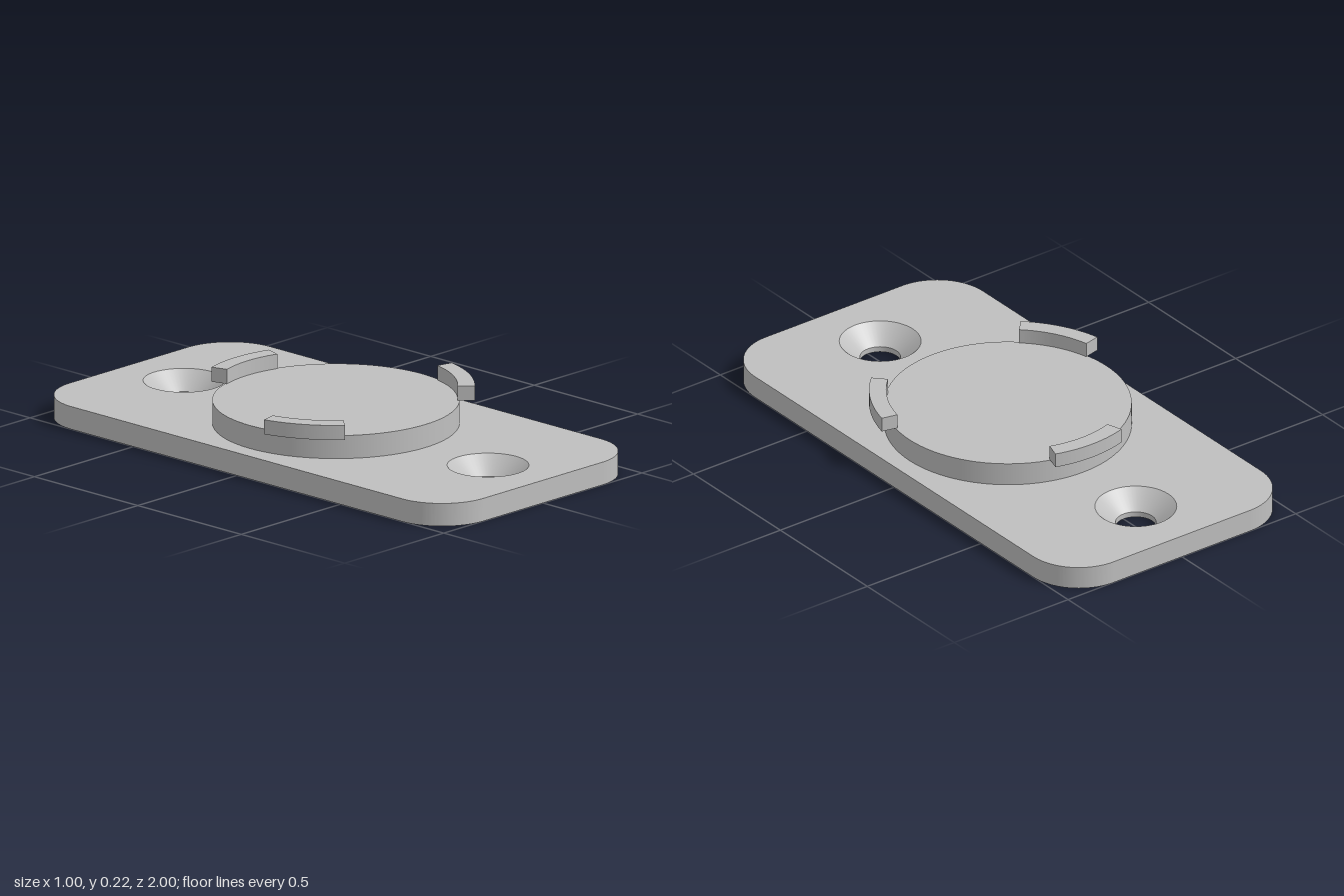
import * as THREE from 'three';
import { mergeGeometries, toCreasedNormals } from 'three/addons/utils/BufferGeometryUtils.js';

const PLATE_H = 0.083, DISC_TOP = 0.167, CLIP_TOP = 0.22;
const HOLE_Z = 0.735, HOLE_R = 0.071, SINK_R = 0.143, SINK_Y = 0.02;
const SEG = 24;

// Rounded rectangle, counter-clockwise, with two round holes
function plateShape(holeRadius) {
  const w = 0.5, l = 1, r = 0.2, P = Math.PI;
  const s = new THREE.Shape();
  s.absarc(w - r, l - r, r, 0, P / 2);
  s.absarc(r - w, l - r, r, P / 2, P);
  s.absarc(r - w, r - l, r, P, P * 1.5);
  s.absarc(w - r, r - l, r, P * 1.5, P * 2);
  s.closePath();
  for (const y of [-HOLE_Z, HOLE_Z]) {
    s.holes.push(new THREE.Path().absarc(0, y, holeRadius, 0, P * 2, true));
  }
  return s;
}

// Upright wall around a counter-clockwise outline
function wall(points, height) {
  const pos = [];
  points.forEach((p, i) => {
    const q = points[(i + 1) % points.length];
    if (p.distanceTo(q) < 1e-6) return;
    pos.push(p.x, p.y, 0, q.x, q.y, 0, q.x, q.y, height);
    pos.push(p.x, p.y, 0, q.x, q.y, height, p.x, p.y, height);
  });
  const g = new THREE.BufferGeometry();
  g.setAttribute('position', new THREE.Float32BufferAttribute(pos, 3));
  return toCreasedNormals(g, 0.5).rotateX(-Math.PI / 2);
}

// Arc-shaped clip centred on the given angle
function clipGeometry(angle) {
  const half = THREE.MathUtils.degToRad(17.4);
  const s = new THREE.Shape();
  s.absarc(0, 0, 0.485, angle - half, angle + half, false);
  s.absarc(0, 0, 0.425, angle + half, angle - half, true);
  s.closePath();
  const g = new THREE.ExtrudeGeometry(s, {
    depth: CLIP_TOP - DISC_TOP, bevelEnabled: false, curveSegments: 16,
  });
  return toCreasedNormals(g, 0.5).rotateX(-Math.PI / 2).translate(0, DISC_TOP, 0);
}

export function createModel() {
  const group = new THREE.Group();
  const grey = new THREE.MeshStandardMaterial({ color: 0xbfbfbf });
  grey.name = 'grey';
  const add = (name, geometry, parent = group) => {
    const mesh = new THREE.Mesh(geometry, grey);
    mesh.name = name;
    parent.add(mesh);
    return mesh;
  };

  // Base plate: wide openings on top, narrow ones underneath
  const plate = new THREE.Group();
  plate.name = 'basePlate';
  group.add(plate);
  const topShape = plateShape(SINK_R);
  add('plateTop', new THREE.ShapeGeometry(topShape, SEG)
    .rotateX(-Math.PI / 2).translate(0, PLATE_H, 0), plate);
  add('plateBottom', new THREE.ShapeGeometry(plateShape(HOLE_R), SEG)
    .rotateX(Math.PI / 2), plate);
  add('plateEdge', wall(topShape.getPoints(SEG), PLATE_H), plate);

  // Countersunk screw holes: cone above a short straight bore
  const cone = [new THREE.Vector2(SINK_R, PLATE_H), new THREE.Vector2(HOLE_R, SINK_Y)];
  const bore = [new THREE.Vector2(HOLE_R, SINK_Y), new THREE.Vector2(HOLE_R, 0)];
  const hole = mergeGeometries([cone, bore].map((p) => new THREE.LatheGeometry(p, SEG * 2)));
  for (const [name, z] of [['frontScrewHole', HOLE_Z], ['backScrewHole', -HOLE_Z]]) {
    add(name, hole, plate).position.z = z;
  }

  // Raised round boss
  add('disc', new THREE.CylinderGeometry(0.432, 0.432, DISC_TOP - PLATE_H, 96)
    .translate(0, (DISC_TOP + PLATE_H) / 2, 0));

  // Three locking clips overhanging the boss rim
  ['backClip', 'rightClip', 'leftClip'].forEach((name, i) => {
    add(name, clipGeometry(Math.PI / 2 + (i * Math.PI * 2) / 3));
  });

  return group;
}
